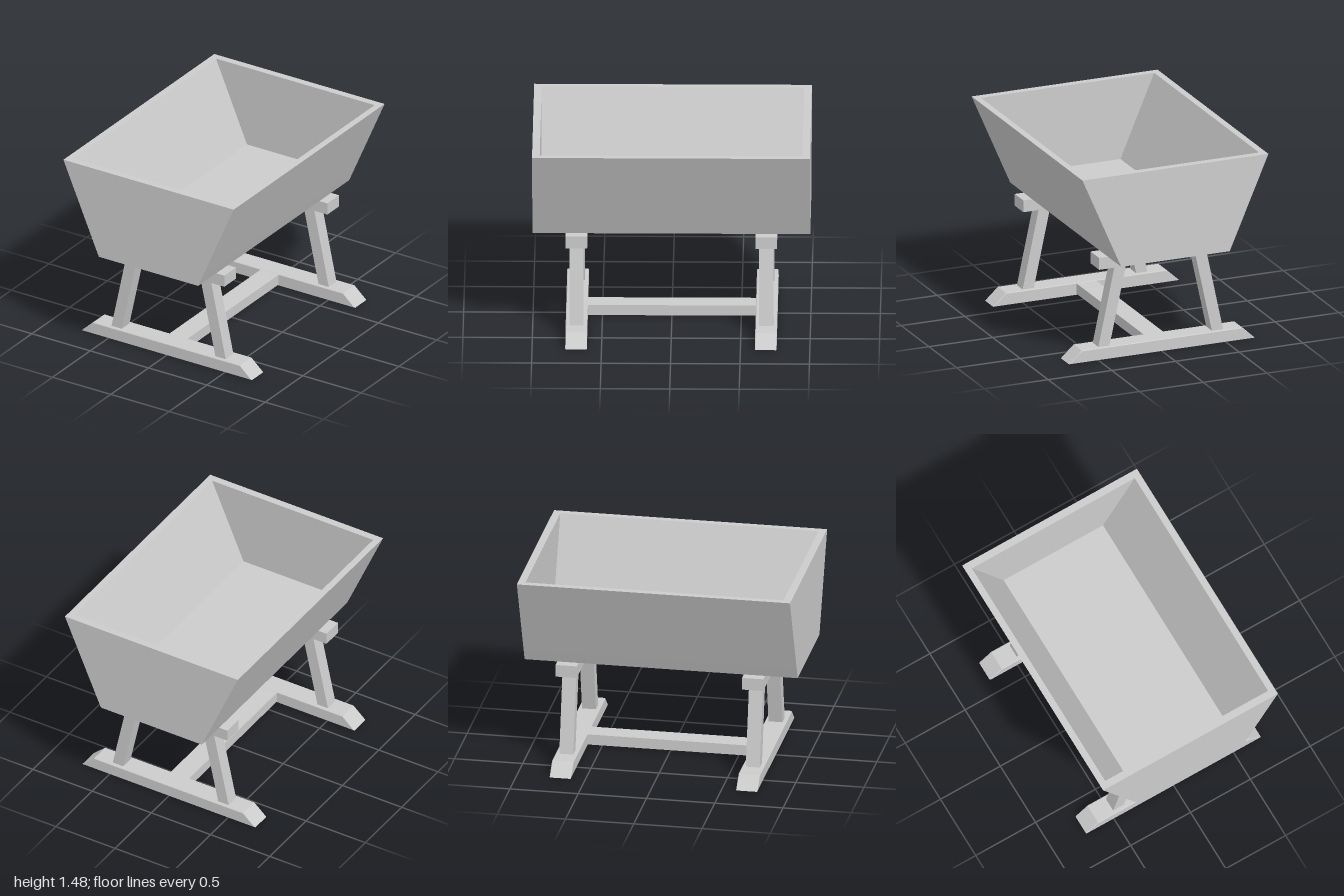
import * as THREE from 'three';

const material = new THREE.MeshStandardMaterial({ color: 0xcccccc, flatShading: true });

// Extrudes an x/y outline from z0 to z1, with an optional small edge bevel.
function board(name, points, z0, z1, bevel = 0) {
  const shape = new THREE.Shape(points.map(([x, y]) => new THREE.Vector2(x, y)));
  const geometry = new THREE.ExtrudeGeometry(shape, {
    depth: z1 - z0 - 2 * bevel,
    bevelEnabled: bevel > 0,
    bevelSize: bevel,
    bevelOffset: -bevel,
    bevelThickness: bevel,
    bevelSegments: 1,
  });
  geometry.translate(0, 0, z0 + bevel);
  const mesh = new THREE.Mesh(geometry, material);
  mesh.name = name;
  return mesh;
}

// Symmetric trapezoid outline, counter-clockwise.
const trapezoid = (bottom, y0, top, y1) => [[-bottom, y0], [bottom, y0], [top, y1], [-top, y1]];

export function createModel() {
  const group = new THREE.Group();
  group.name = 'troughOnStand';

  // Trough: floor, sloping sides and end panels set between them
  const trough = new THREE.Group();
  trough.name = 'trough';
  group.add(trough);
  const floorY = 0.86, baseY = 0.78, rimY = 1.48;
  trough.add(board('troughFloor', trapezoid(0.426, baseY, 0.461, floorY), -1, 1));
  for (const s of [-1, 1]) {
    const wall = [[0.415, floorY], [0.461, floorY], [0.73, rimY], [0.68, rimY]];
    trough.add(board(s > 0 ? 'leftWall' : 'rightWall', wall.map(([x, y]) => [s * x, y]), -1, 1));
    const [z0, z1] = s > 0 ? [0.945, 1] : [-1, -0.945];
    trough.add(board(s > 0 ? 'frontPanel' : 'backPanel', trapezoid(0.415, floorY, 0.68, rimY), z0, z1));
  }

  // Two trestles: foot, splayed legs and top rail
  for (const s of [-1, 1]) {
    const trestle = new THREE.Group();
    trestle.name = s > 0 ? 'frontTrestle' : 'backTrestle';
    const zc = s * 0.683;
    trestle.add(board('foot', trapezoid(0.73, 0, 0.63, 0.092), zc - 0.078, zc + 0.078, 0.005));
    trestle.add(board('topRail', trapezoid(0.495, 0.69, 0.495, 0.78), zc - 0.078, zc + 0.078));
    for (const side of [-1, 1]) {
      const leg = [[0.403, 0.085], [0.491, 0.085], [0.361, 0.695], [0.271, 0.695]];
      trestle.add(board(side > 0 ? 'leftLeg' : 'rightLeg', leg.map(([x, y]) => [side * x, y]), zc - 0.051, zc + 0.051));
    }
    group.add(trestle);
  }

  // Stretcher joining the feet
  group.add(board('stretcher', trapezoid(0.077, 0.01, 0.077, 0.088), -0.607, 0.607));

  return group;
}
